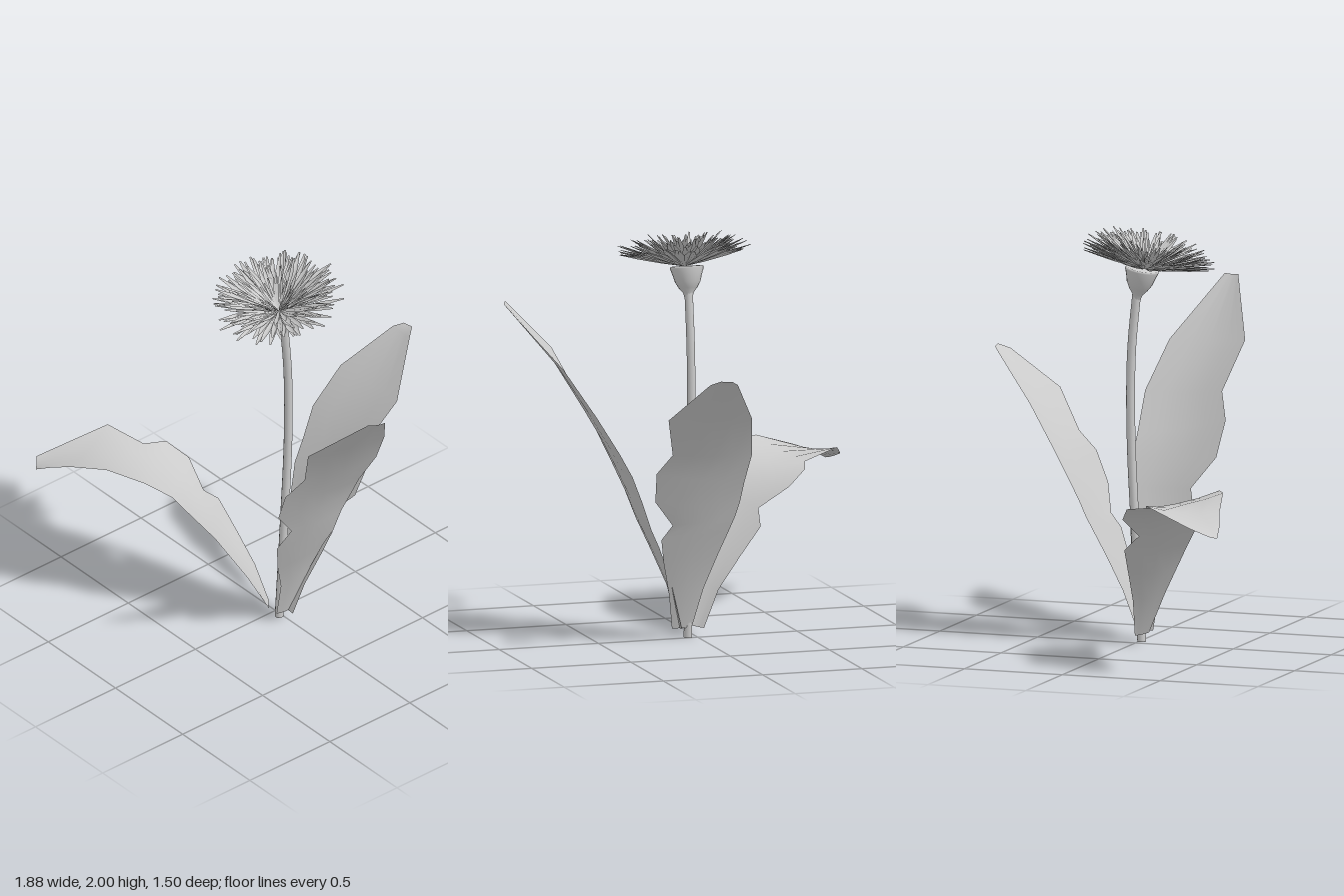
import * as THREE from 'three';

const material = new THREE.MeshStandardMaterial({ color: 0xcccccc, side: THREE.DoubleSide });

// Small seeded generator, 0..1
let seed = 7;
const rand = () => (seed = (seed * 16807) % 2147483647) / 2147483647;
const vary = (v, amount) => v * (1 + (rand() * 2 - 1) * amount);

function part(name, geometry) {
  const mesh = new THREE.Mesh(geometry, material);
  mesh.name = name;
  return mesh;
}

// Grid of points (rows of equal length) joined into a surface
function gridGeometry(rows) {
  const n = rows[0].length, index = [];
  for (let i = 0; i < rows.length - 1; i++) {
    for (let j = 0; j < n - 1; j++) {
      const a = i * n + j, b = a + 1, c = a + n, d = c + 1;
      index.push(a, b, c, b, d, c);
    }
  }
  const g = new THREE.BufferGeometry().setFromPoints(rows.flat());
  g.setIndex(index);
  g.computeVertexNormals();
  return g;
}

// Leaf blade: pairs of edge points from base to tip, bowed across its width
function leaf(name, stations, bow) {
  const middle = ([p, q]) => new THREE.Vector3(...p).add(new THREE.Vector3(...q)).multiplyScalar(0.5);
  const rows = stations.map(([l, r], i) => {
    const L = new THREE.Vector3(...l), R = new THREE.Vector3(...r);
    const next = stations[Math.min(i + 1, stations.length - 1)];
    const prev = stations[Math.max(i - 1, 0)];
    const along = middle(next).sub(middle(prev));
    const across = R.clone().sub(L);
    const normal = across.clone().cross(along).normalize();
    return [0, 0.25, 0.5, 0.75, 1].map(t =>
      L.clone().lerp(R, t).addScaledVector(normal, bow * across.length() * 4 * t * (1 - t)));
  });
  return part(name, gridGeometry(rows));
}

// Petal strip with a creased middle, rising outwards and bending a little sideways
function petal(angle, radius, height, width) {
  const start = 0.008, bend = (rand() - 0.5) * 0.25, rows = [];
  for (const t of [0, 0.35, 0.7, 1]) {
    const r = start + (radius - start) * t, a = angle + bend * t * t;
    const y = 0.004 + height * (0.75 * t + 0.25 * t * t);
    const w = width * [0.25, 0.7, 1, 0.3][rows.length] / 2;
    rows.push([[-w, w * 0.6], [0, 0], [w, w * 0.6]].map(([s, lift]) => new THREE.Vector3(
      r * Math.cos(a) - s * Math.sin(a), y + lift, r * Math.sin(a) + s * Math.cos(a))));
  }
  return gridGeometry(rows);
}

export function createModel() {
  const model = new THREE.Group();
  model.name = 'flower';

  // Stem, gently bowed
  const path = new THREE.CatmullRomCurve3([
    [0.045, 0, 0.015], [0.045, 0.5, -0.015], [0.046, 1, -0.04], [0.047, 1.4, -0.038], [0.05, 1.71, -0.01],
  ].map(p => new THREE.Vector3(...p)));
  model.add(part('stem', new THREE.TubeGeometry(path, 24, 0.021, 10)));
  const foot = part('stemFoot', new THREE.CircleGeometry(0.021, 10));
  foot.rotation.x = Math.PI / 2;
  foot.position.set(0.045, 0, 0.015);
  model.add(foot);

  // Flower head, leaning to the front
  const head = new THREE.Group();
  head.name = 'flowerHead';
  head.position.set(0.05, 1.805, 0.015);
  head.rotation.x = 0.19;
  const cup = [[0.019, -0.15], [0.025, -0.125], [0.045, -0.1], [0.062, -0.07], [0.07, -0.04], [0.082, -0.005], [0.078, 0.004], [0.001, 0]];
  head.add(part('cup', new THREE.LatheGeometry(cup.map(p => new THREE.Vector2(...p)), 20)));

  // Rings of petals: count, radius, height, width
  const rings = [[50, 0.3, 0.075, 0.03], [46, 0.285, 0.1, 0.028], [40, 0.24, 0.125, 0.025], [34, 0.175, 0.14, 0.02], [24, 0.09, 0.115, 0.014]];
  rings.forEach(([count, radius, height, width], k) => {
    const ring = new THREE.Group();
    ring.name = 'petalRing' + (k + 1);
    for (let i = 0; i < count; i++) {
      const angle = ((i + k * 0.37 + rand() * 1.5) / count) * Math.PI * 2;
      ring.add(part('petal', petal(angle, vary(radius, 0.12), vary(height, 0.15), width)));
    }
    ring.position.set(0.008, 0, 0.012);
    head.add(ring);
  });
  model.add(head);

  // Leaves
  model.add(leaf('leftLeaf', [
    [[0.08, 0.05, 0.06], [0.09, 0.05, -0.03]],
    [[0.13, 0.245, 0.075], [0.165, 0.31, -0.08]],
    [[0.19, 0.415, 0.145], [0.23, 0.47, -0.11]],
    [[0.255, 0.59, 0.205], [0.275, 0.56, -0.13]],
    [[0.315, 0.71, 0.165], [0.325, 0.7, -0.14]],
    [[0.355, 0.86, 0.28], [0.38, 0.83, -0.16]],
    [[0.43, 1.03, 0.3], [0.44, 0.94, -0.155]],
    [[0.515, 1.155, 0.25], [0.56, 1.13, -0.16]],
    [[0.63, 1.39, 0.325], [0.705, 1.36, -0.09]],
    [[0.91, 1.66, 0.185], [0.94, 1.655, 0.105]],
  ], 0.055));
  model.add(leaf('backLeaf', [
    [[0.03, 0.05, 0], [0.13, 0.05, 0]],
    [[-0.01, 0.25, -0.06], [0.16, 0.22, -0.05]],
    [[-0.06, 0.42, -0.125], [0.21, 0.4, -0.115]],
    [[-0.1, 0.55, -0.18], [0.235, 0.515, -0.16]],
    [[-0.12, 0.62, -0.21], [0.19, 0.59, -0.195]],
    [[-0.135, 0.69, -0.235], [0.295, 0.72, -0.25]],
    [[-0.14, 0.8, -0.29], [0.31, 0.87, -0.315]],
    [[-0.155, 0.95, -0.365], [0.25, 0.97, -0.38]],
    [[-0.11, 1.15, -0.5], [0.31, 1.165, -0.5]],
    [[0.03, 1.36, -0.71], [0.165, 1.365, -0.7]],
    [[0.07, 1.385, -0.745], [0.125, 1.39, -0.75]],
  ], -0.04));
  model.add(leaf('droopingLeaf', [
    [[-0.035, 0.04, 0.01], [0.025, 0.05, 0.06]],
    [[-0.115, 0.22, 0.03], [-0.02, 0.255, 0.16]],
    [[-0.23, 0.37, 0.05], [-0.055, 0.38, 0.23]],
    [[-0.34, 0.505, 0.07], [-0.09, 0.505, 0.3]],
    [[-0.355, 0.58, 0.15], [-0.17, 0.67, 0.41]],
    [[-0.5, 0.68, 0.12], [-0.23, 0.74, 0.45]],
    [[-0.6, 0.75, 0.18], [-0.32, 0.82, 0.55]],
    [[-0.635, 0.765, 0.29], [-0.5, 0.84, 0.635]],
    [[-0.82, 0.81, 0.36], [-0.7, 0.775, 0.69]],
    [[-0.92, 0.73, 0.62], [-0.8, 0.735, 0.73]],
    [[-0.945, 0.71, 0.7], [-0.89, 0.685, 0.75]],
  ], 0.045));

  return model;
}
